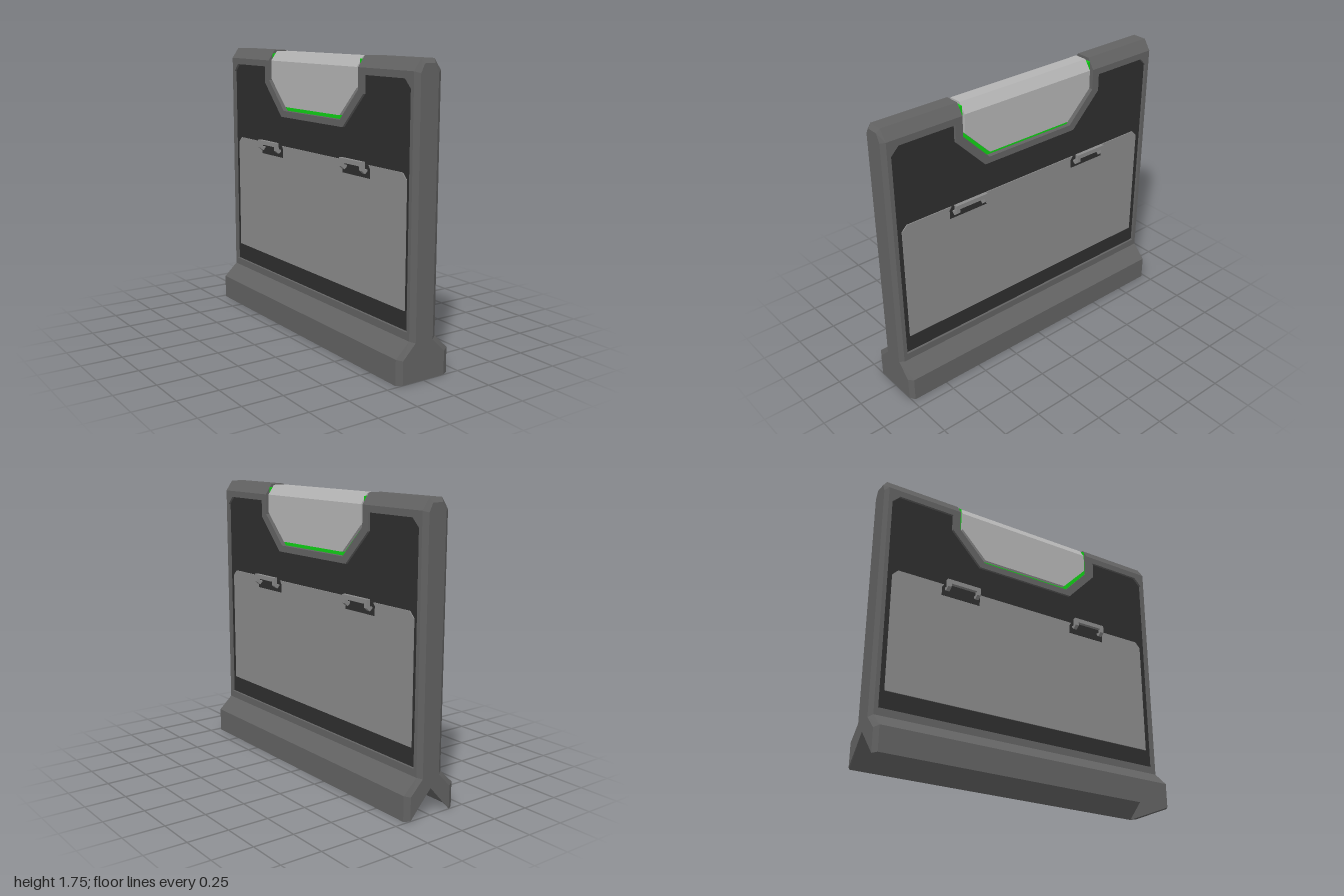
import * as THREE from 'three';

const mat = (name, color) => Object.assign(new THREE.MeshStandardMaterial({ color }), { name });

const toShape = (pts) => new THREE.Shape(pts.map(([a, b]) => new THREE.Vector2(a, b)));
// mirror the right half of an outline (listed top to bottom or bottom to top) across the axis
const mirrored = (half) => [...half, ...half.filter(([a]) => a > 0).map(([a, b]) => [-a, b]).reverse()];

// (z, y) outline extruded symmetrically across x
function slab(pts, halfX, hole) {
  const shape = toShape(pts);
  if (hole) shape.holes.push(toShape(hole));
  const g = new THREE.ExtrudeGeometry(shape, { depth: halfX * 2, bevelEnabled: false });
  return g.translate(0, 0, -halfX).rotateY(-Math.PI / 2);
}

// (x, y) profile extruded along z
function bar(pts, z0, z1) {
  return new THREE.ExtrudeGeometry(toShape(pts), { depth: z1 - z0, bevelEnabled: false }).translate(0, 0, z0);
}

// closed solid between two matching (x, y) profiles, z0 < z1, counterclockwise corners
function loft(a, z0, b, z1) {
  const p = [];
  const n = a.length;
  const put = (q, z) => p.push(q[0], q[1], z);
  for (let i = 0; i < n; i++) {
    const j = (i + 1) % n;
    put(a[i], z0); put(a[j], z0); put(b[j], z1);
    put(a[i], z0); put(b[j], z1); put(b[i], z1);
  }
  const cap = (q, z, front) => {
    const pts = q.map(([x, y]) => new THREE.Vector2(x, y));
    for (const t of THREE.ShapeUtils.triangulateShape(pts, [])) {
      (front ? t : [t[0], t[2], t[1]]).forEach((k) => put(q[k], z));
    }
  };
  cap(a, z0, false);
  cap(b, z1, true);
  const g = new THREE.BufferGeometry();
  g.setAttribute('position', new THREE.Float32BufferAttribute(p, 3));
  g.computeVertexNormals();
  return g;
}

export function createModel() {
  const root = new THREE.Group();
  root.name = 'barrier';
  const frameMat = mat('frame grey', 0x626262);
  const darkMat = mat('recess charcoal', 0x2e2e2e);
  const panelMat = mat('panel grey', 0x8a8a8a);
  const windowMat = mat('window light grey', 0xb4b4b4);
  const greenMat = mat('green trim', 0x10d015);
  const add = (name, geometry, material, parent = root) => {
    const m = new THREE.Mesh(geometry, material);
    m.name = name;
    parent.add(m);
    return m;
  };

  // flared foot with a V groove underneath
  const groove = 0.16;
  add('foot', bar([
    [0, groove], [0.18, 0], [0.18, 0.15], [0.09, 0.235],
    [-0.09, 0.235], [-0.18, 0.15], [-0.18, 0],
  ], -0.98, 0.98), frameMat);

  // upright frame with a recess opening and a notch for the window
  const recess = mirrored([
    [0.955, 0.28], [0.955, 1.6], [0.905, 1.65], [0.54, 1.65], [0.54, 1.545], [0.34, 1.34],
  ]);
  add('frame', slab(mirrored([
    [0.98, 0.235], [0.98, 1.69], [0.49, 1.69], [0.49, 1.565], [0.31, 1.38],
  ]), 0.09, recess), frameMat);
  add('recessedCore', slab(recess, 0.075), darkMat);

  // bevelled top rails either side of the notch
  const ridge = [[-0.09, 1.69], [0.09, 1.69], [0.045, 1.755], [-0.045, 1.755]];
  add('topRailFront', bar(ridge, 0.49, 0.98), frameMat);
  add('topRailBack', bar(ridge, -0.98, -0.49), frameMat);

  // end caps with bevelled edges; the groove runs out at the back
  const endProfile = (bottom, half) => [[0, bottom], ...half, ...half.map(([x, y]) => [-x, y]).reverse()];
  const full = [[0.18, 0], [0.18, 0.15], [0.09, 0.235], [0.09, 1.69], [0.045, 1.755]];
  const inset = [[0.145, 0], [0.145, 0.14], [0.06, 0.225], [0.06, 1.68], [0.035, 1.73]];
  add('endCapFront', loft(endProfile(0, full), 0.98, endProfile(0, inset), 1), frameMat);
  add('endCapBack', loft(endProfile(groove, inset), -1, endProfile(groove, full), -0.98), frameMat);

  // green trim lining the notch
  add('windowTrim', slab([
    [0.49, 1.735], [0.49, 1.565], [0.31, 1.38], [-0.31, 1.38], [-0.49, 1.565], [-0.49, 1.735],
    [-0.47, 1.735], [-0.47, 1.575], [-0.3, 1.405], [0.3, 1.405], [0.47, 1.575], [0.47, 1.735],
  ], 0.062), greenMat);

  // window block with bevelled top
  add('window', slab(mirrored([[0.47, 1.69], [0.47, 1.575], [0.3, 1.405]]), 0.083), windowMat);
  add('windowTop', bar([[-0.083, 1.69], [0.083, 1.69], [0.04, 1.75], [-0.04, 1.75]], -0.47, 0.47), windowMat);

  // armour panel on both faces
  add('panel', slab(mirrored([[0.92, 0.39], [0.92, 1.115], [0.885, 1.15]]), 0.081), panelMat);

  // handles, two on each face, over dark backing plates
  const hook = [[0.08, 1.12], [0.1, 1.1], [0.125, 1.12], [0.125, 1.17], [0.102, 1.17], [0.102, 1.125], [0.08, 1.125]];
  for (const z of [-0.467, 0.467]) {
    add('handleBacking', slab([
      [z - 0.13, 1.075], [z + 0.13, 1.075], [z + 0.13, 1.13],
      [z + 0.115, 1.151], [z - 0.115, 1.151], [z - 0.13, 1.13],
    ], 0.084), darkMat);
    for (const side of [0, Math.PI]) {
      const handle = new THREE.Group();
      handle.name = 'handle';
      for (const end of [-0.1, 0.1]) add('handleHook', bar(hook, end - 0.012, end + 0.012), panelMat, handle);
      add('handleGrip', new THREE.BoxGeometry(0.023, 0.027, 0.2).translate(0.1135, 1.1565, 0), panelMat, handle);
      handle.rotation.y = side;
      handle.position.z = z;
      root.add(handle);
    }
  }
  return root;
}
